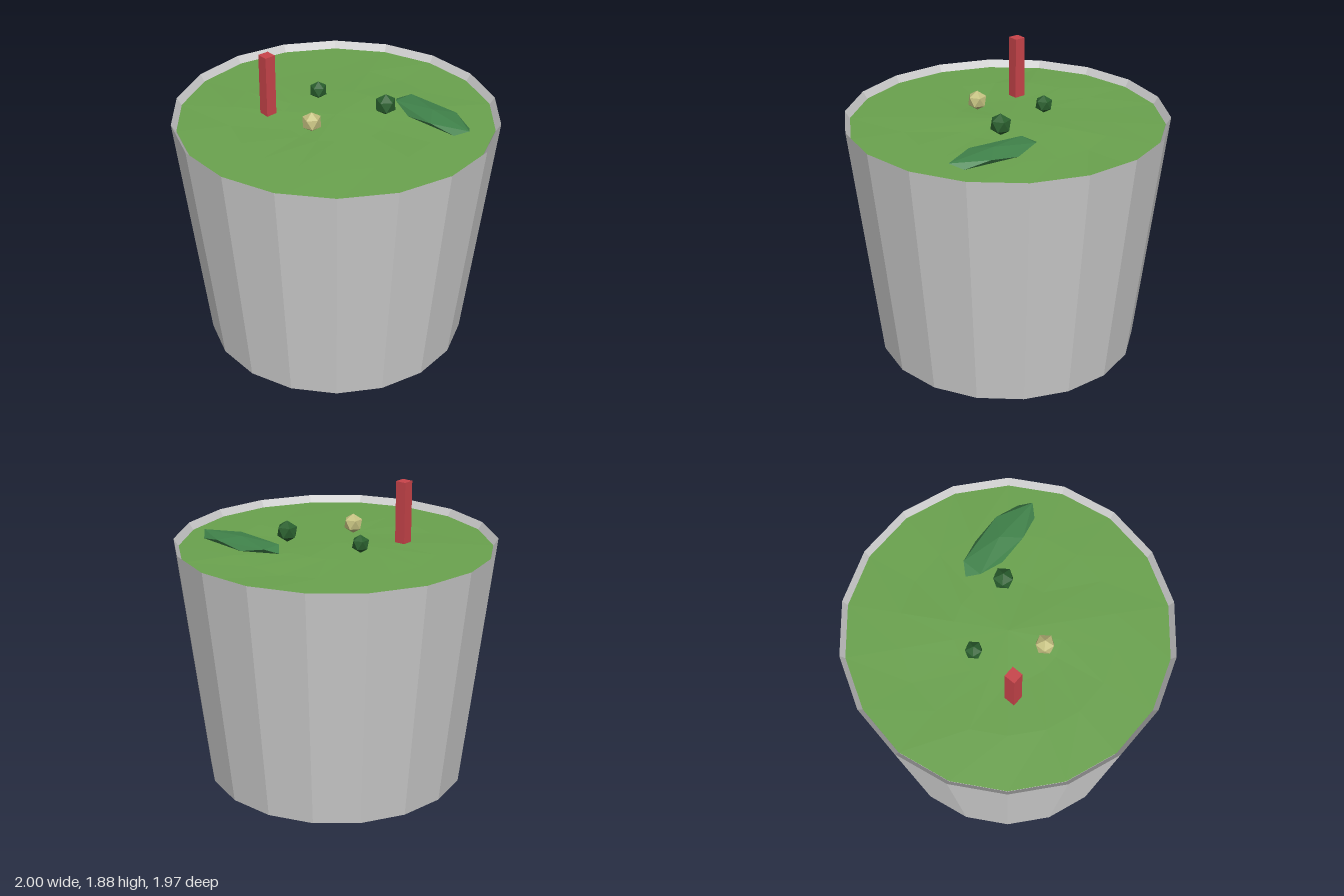
import * as THREE from 'three';

const SIDES = 18;

// Low-poly mesh with faceted normals
function addPart(group, name, geometry, color, side = THREE.FrontSide) {
  const flat = geometry.index ? geometry.toNonIndexed() : geometry;
  flat.computeVertexNormals();
  const mesh = new THREE.Mesh(flat, new THREE.MeshStandardMaterial({ color, flatShading: true, side }));
  mesh.name = name;
  group.add(mesh);
  return mesh;
}

// Icosahedron standing on one of its corners
function blob(rx, ry, rz) {
  return new THREE.IcosahedronGeometry(1, 0)
    .rotateZ(-Math.atan(2 / (1 + Math.sqrt(5))))
    .scale(rx, ry, rz);
}

export function createModel() {
  const group = new THREE.Group();
  group.name = 'grassPot';

  // Tapered pot with closed base and a narrow sloping inner rim
  const profile = [[0, 0], [0.825, 0], [1, 1.53], [0.97, 1.48]].map(([r, y]) => new THREE.Vector2(r, y));
  addPart(group, 'pot', new THREE.LatheGeometry(profile, SIDES, Math.PI / 2), 0xcccccc, THREE.DoubleSide);

  // Gently uneven lawn, slightly higher in the middle
  const lawn = new THREE.RingGeometry(0, 0.97, SIDES, 3).rotateX(-Math.PI / 2);
  const p = lawn.attributes.position;
  for (let i = 0; i < p.count; i++) {
    const x = p.getX(i), z = p.getZ(i), r = Math.hypot(x, z);
    const bump = r > 0.1 && r < 0.9 ? 0.008 * Math.sin(7 * x + 2) * Math.cos(6 * z + 1) : 0;
    p.setY(i, 1.505 - 0.02 * r + bump);
  }
  addPart(group, 'lawn', lawn, 0x6aa24e);

  // Upright post
  addPart(group, 'post', new THREE.BoxGeometry(0.07, 0.4, 0.07), 0xc8444a).position.set(-0.297, 1.685, 0.29);

  // Low grassy mound
  addPart(group, 'mound', blob(0.35, 0.035, 0.126), 0x40824a).position.set(0.41, 1.53, -0.415);

  // Small bushes and a stone
  const clumps = [
    ['largeBush', 0.068, 0.21, 1.587, -0.215, 0x2a5f2e],
    ['smallBush', 0.057, -0.24, 1.56, -0.06, 0x2a5f2e],
    ['stone', 0.063, 0.055, 1.562, 0.235, 0xc4c080],
  ];
  for (const [name, r, x, y, z, color] of clumps) {
    addPart(group, name, blob(r, r, r), color).position.set(x, y, z);
  }

  return group;
}
